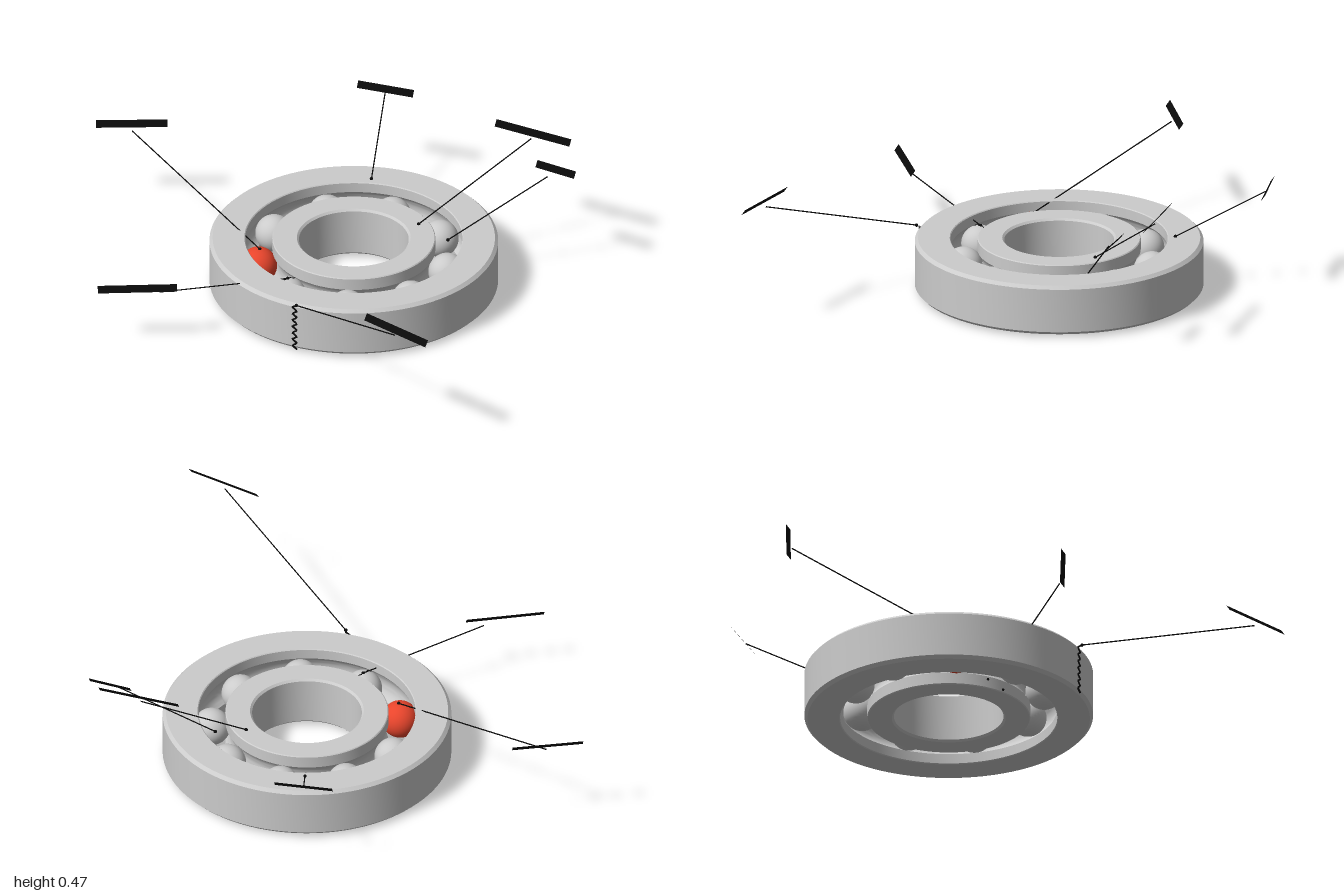
import * as THREE from 'three';
import { toCreasedNormals } from 'three/addons/utils/BufferGeometryUtils.js';

const V = (x, y, z) => new THREE.Vector3(x, y, z);
const CX = -0.06, CZ = -0.13;        // bearing axis
const Y0 = 0.01, Y1 = 0.186, YM = 0.098;
const PITCH = 0.327, BALL = 0.064, GROOVE = 0.066;

const grey = new THREE.MeshStandardMaterial({ color: 0xcccccc });
const red = new THREE.MeshStandardMaterial({ color: 0xe8452c });
const black = new THREE.MeshStandardMaterial({ color: 0x0a0a0a });
const plateMaterial = new THREE.MeshStandardMaterial({ color: 0x0a0a0a, side: THREE.DoubleSide });

function add(parent, name, geometry, material) {
  const mesh = new THREE.Mesh(geometry, material);
  mesh.name = name;
  parent.add(mesh);
  return mesh;
}

// Points of the ball groove cut into a race whose shoulder has radius r
function groove(r, steps = 14) {
  const side = Math.sign(r - PITCH);
  const half = Math.acos(Math.abs(r - PITCH) / GROOVE);
  const points = [];
  for (let i = 0; i <= steps; i++) {
    const a = half * (2 * i / steps - 1);
    points.push(new THREE.Vector2(PITCH + side * GROOVE * Math.cos(a), YM + GROOVE * Math.sin(a)));
  }
  return points;
}

// Ring with chamfered rims; the grooved wall is the outer or the inner one
function ringGeometry(rIn, rOut, grooveOutside) {
  const P = (x, y) => new THREE.Vector2(x, y);
  const cOut = grooveOutside ? 0.003 : 0.011, cIn = grooveOutside ? 0.007 : 0.003;
  const points = [
    P(rOut - cOut, Y0), P(rOut, Y0 + cOut),
    ...(grooveOutside ? groove(rOut) : []),
    P(rOut, Y1 - cOut), P(rOut - cOut, Y1),
    P(rIn + cIn, Y1), P(rIn, Y1 - cIn),
    ...(grooveOutside ? [] : groove(rIn).reverse()),
    P(rIn, Y0 + cIn), P(rIn + cIn, Y0), P(rOut - cOut, Y0),
  ];
  return toCreasedNormals(new THREE.LatheGeometry(points, 112), 0.5);
}

// Jagged line through the points
function crackGeometry(points, radius) {
  const path = new THREE.CurvePath();
  for (let i = 1; i < points.length; i++) path.add(new THREE.LineCurve3(points[i - 1], points[i]));
  return new THREE.TubeGeometry(path, (points.length - 1) * 4, radius, 6);
}

// Leader line, its end dot and a blank tilted tag plate
function callout(parent, name, anchor, end, tagStart, tagEnd, dot) {
  const group = new THREE.Group();
  group.name = name;
  parent.add(group);
  add(group, 'leaderLine', new THREE.TubeGeometry(new THREE.LineCurve3(anchor, end), 1, 0.0022, 6), black);
  if (dot) add(group, 'leaderDot', new THREE.SphereGeometry(0.006, 12, 8), black).position.copy(anchor);

  const along = tagEnd.clone().sub(tagStart);
  const length = along.length();
  along.normalize();
  const up = V(along.z, 1.4, -along.x).normalize();
  const plate = add(group, 'tagPlate', new THREE.PlaneGeometry(length, 0.026), plateMaterial);
  plate.quaternion.setFromRotationMatrix(
    new THREE.Matrix4().makeBasis(along, up, along.clone().cross(up)));
  plate.position.copy(tagStart).add(tagEnd).multiplyScalar(0.5);
}

export function createModel() {
  const model = new THREE.Group();
  model.name = 'ballBearing';

  // Bearing about its own axis
  const bearing = new THREE.Group();
  bearing.name = 'bearing';
  bearing.position.set(CX, 0, CZ);
  model.add(bearing);
  add(bearing, 'outerRing', ringGeometry(0.37, 0.492, false), grey);
  add(bearing, 'innerRing', ringGeometry(0.187, 0.278, true), grey);

  // Nine balls, the fourth one marked red
  const ballGeometry = new THREE.SphereGeometry(BALL, 36, 24);
  for (let i = 0; i < 9; i++) {
    const a = i * Math.PI * 2 / 9;
    const ball = add(bearing, i === 3 ? 'faultyBall' : 'ball', ballGeometry, i === 3 ? red : grey);
    ball.position.set(PITCH * Math.cos(a), YM, PITCH * Math.sin(a));
  }

  // Zigzag crack down the outer wall
  const wall = [];
  for (let i = 0; i <= 14; i++) {
    const a = Math.PI / 3 + (i % 2 ? 0.026 : -0.012);
    wall.push(V(0.493 * Math.cos(a), Y0 + (Y1 - Y0) * i / 14, 0.493 * Math.sin(a)));
  }
  add(bearing, 'outerCrack', crackGeometry(wall, 0.0035), black);

  // Short crack over the top of one ball
  const b = Math.PI * 4 / 9, arc = [];
  for (let i = 0; i <= 6; i++) {
    const t = (i / 6 - 0.5) * 1.1;
    arc.push(V(PITCH * Math.cos(b) + (i % 2 ? 0.004 : -0.003), YM + BALL * Math.cos(t),
      PITCH * Math.sin(b) + BALL * Math.sin(t)));
  }
  add(bearing, 'ballCrack', crackGeometry(arc, 0.002), black);

  // Loose chips below the balls
  [[-0.135, 0.215], [-0.045, 0.175]].forEach(([x, z]) =>
    add(model, 'chip', new THREE.IcosahedronGeometry(0.005, 0), black).position.set(x, 0.005, z));

  // Callouts: anchor, leader end, tag start, tag end
  callout(model, 'raceSpallCallout', V(-0.34, 0.188, -0.41), V(-0.557, 0.35, -0.627),
    V(-0.645, 0.36, -0.575), V(-0.48, 0.36, -0.69), true);
  callout(model, 'innerRaceCallout', V(0, 0.188, -0.36), V(0.11, 0.44, -0.755),
    V(-0.02, 0.46, -0.7), V(0.24, 0.46, -0.825), true);
  callout(model, 'ballCallout', V(0.1, 0.155, -0.41), V(0.28, 0.39, -0.7),
    V(0.215, 0.41, -0.7), V(0.355, 0.41, -0.76), true);
  callout(model, 'outerCrackCallout', V(0.195, 0.188, 0.3), V(0.86, 0.41, 0.37),
    V(0.73, 0.432, 0.4), V(1, 0.432, 0.34), true);
  callout(model, 'faultyBallCallout', V(-0.22, 0.162, 0.15), V(-0.92, 0.305, 0.175),
    V(-1, 0.328, 0.27), V(-0.86, 0.328, 0.07), true);
  callout(model, 'crackedBallCallout', V(-0.005, 0.162, 0.19), V(-0.13, 0.205, 0.64),
    V(-0.24, 0.225, 0.82), V(-0.09, 0.225, 0.595), true);
  return model;
}
